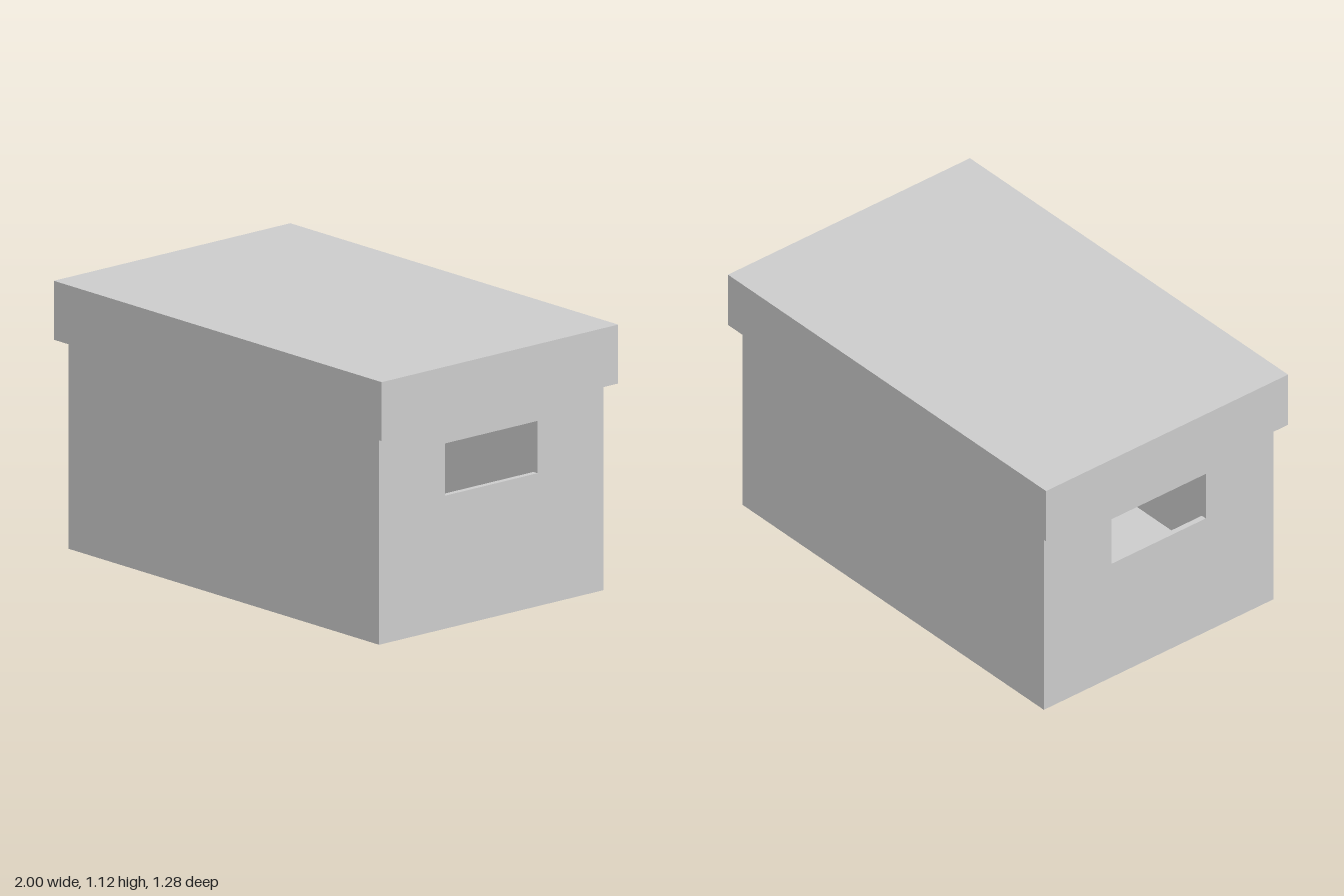
import * as THREE from 'three';

const material = new THREE.MeshStandardMaterial({ color: 0xcccccc });

function addBox(parent, name, size, position) {
  const mesh = new THREE.Mesh(new THREE.BoxGeometry(...size), material);
  mesh.name = name;
  mesh.position.set(...position);
  parent.add(mesh);
}

function rectangle(Type, halfWidth, bottom, top) {
  return new Type([
    new THREE.Vector2(-halfWidth, bottom),
    new THREE.Vector2(halfWidth, bottom),
    new THREE.Vector2(halfWidth, top),
    new THREE.Vector2(-halfWidth, top),
  ]);
}

// Hollow carton with a hand hole through each end
function createBody() {
  const body = new THREE.Group();
  body.name = 'body';
  const hx = 0.947, hz = 0.607, top = 1.095, wall = 0.025;

  addBox(body, 'floor', [2 * (hx - wall), wall, 2 * (hz - wall)], [0, wall / 2, 0]);

  const endShape = rectangle(THREE.Shape, hz, 0, top);
  endShape.holes.push(rectangle(THREE.Path, 0.25, 0.56, 0.78));
  const endGeometry = new THREE.ExtrudeGeometry(endShape, { depth: wall, bevelEnabled: false });
  endGeometry.rotateY(Math.PI / 2);

  for (const side of [1, -1]) {
    addBox(body, side > 0 ? 'frontWall' : 'backWall',
      [2 * (hx - wall), top, wall], [0, top / 2, side * (hz - wall / 2)]);
    const end = new THREE.Mesh(endGeometry, material);
    end.name = side > 0 ? 'leftHandleWall' : 'rightHandleWall';
    end.position.x = side > 0 ? hx - wall : -hx;
    body.add(end);
  }
  return body;
}

// Overhanging lid: a flat panel with a skirt all round
function createLid() {
  const lid = new THREE.Group();
  lid.name = 'lid';
  const hx = 1, hz = 0.64, bottom = 0.875, top = 1.123, wall = 0.025;
  const skirt = top - wall - bottom;
  const y = bottom + skirt / 2;

  addBox(lid, 'lidPanel', [2 * hx, wall, 2 * hz], [0, top - wall / 2, 0]);
  for (const side of [1, -1]) {
    addBox(lid, side > 0 ? 'lidFrontSkirt' : 'lidBackSkirt',
      [2 * hx, skirt, wall], [0, y, side * (hz - wall / 2)]);
    addBox(lid, side > 0 ? 'lidLeftSkirt' : 'lidRightSkirt',
      [wall, skirt, 2 * (hz - wall)], [side * (hx - wall / 2), y, 0]);
  }
  return lid;
}

export function createModel() {
  const model = new THREE.Group();
  model.name = 'storageBox';
  model.add(createBody(), createLid());
  return model;
}
